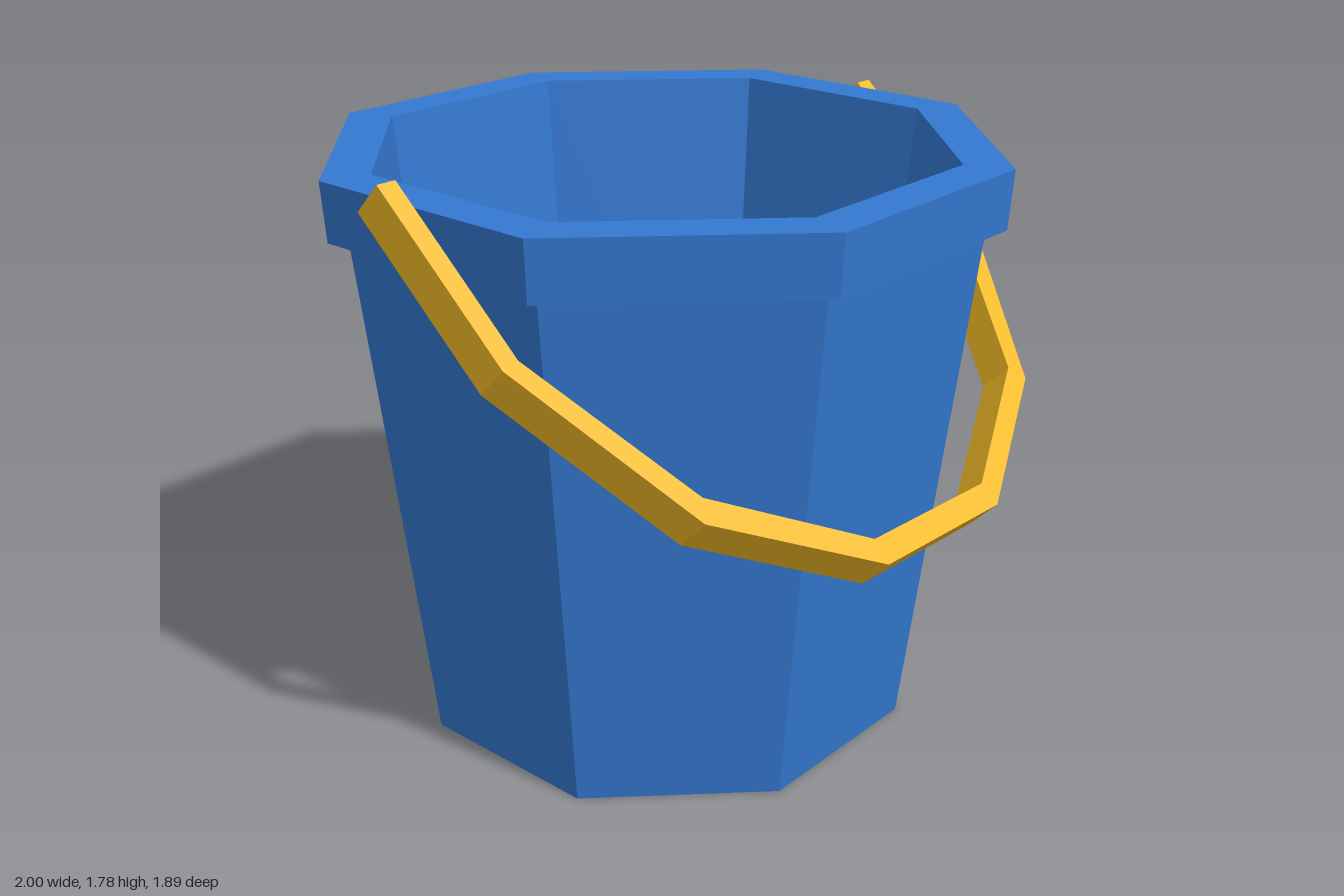
import * as THREE from 'three';

const paint = (color) => new THREE.MeshStandardMaterial({ color, flatShading: true });

// Eight-sided lathe with flats facing the axes; profile is [half width, height]
function octagon(name, profile, material) {
  const k = 1 / Math.cos(Math.PI / 8);
  const points = profile.map(([r, y]) => new THREE.Vector2(r * k, y));
  const mesh = new THREE.Mesh(new THREE.LatheGeometry(points, 8, Math.PI / 8), material);
  mesh.name = name;
  return mesh;
}

// Bent flat bar lying in a tilted plane
function handleGeometry() {
  // Front edges as [x, y], running from right arm to left arm
  const outer = [[-1, 1.78], [-0.98, 1.39], [-0.695, 1.005], [-0.22, 0.785],
    [0.295, 0.775], [0.75, 0.968], [1, 1.33], [0.98, 1.725]];
  const inner = [[-0.94, 1.78], [-0.92, 1.398], [-0.652, 1.048], [-0.21, 0.838],
    [0.29, 0.826], [0.71, 1.005], [0.93, 1.35], [0.92, 1.725]];
  const front = ([x, y]) => [x, y, -0.088 + (1.778 - y) * 1.035];
  const back = (p) => {
    const [x, y, z] = front(p);
    return [x, y - 0.085, z - 0.081];
  };
  const rings = outer.map((o, i) => [front(o), front(inner[i]), back(inner[i]), back(o)]);
  const positions = [];
  const quad = (a, b, c, d) => positions.push(...a, ...b, ...c, ...a, ...c, ...d);
  for (let i = 0; i < rings.length - 1; i++) {
    const p = rings[i], q = rings[i + 1];
    for (let j = 0; j < 4; j++) {
      const k = (j + 1) % 4;
      quad(p[j], q[j], q[k], p[k]);
    }
  }
  // End caps
  quad(...rings[0]);
  quad(...[...rings[rings.length - 1]].reverse());
  const geometry = new THREE.BufferGeometry();
  geometry.setAttribute('position', new THREE.Float32BufferAttribute(positions, 3));
  geometry.computeVertexNormals();
  return geometry;
}

export function createModel() {
  const model = new THREE.Group();
  model.name = 'bucket';
  const blue = paint(0x3478d0);
  const yellow = paint(0xf0b926);

  // Tapered pail: base, outer wall, rim band, inner wall and floor
  const pail = new THREE.Group();
  pail.name = 'pail';
  pail.position.set(-0.022, 0, -0.024);
  pail.add(
    octagon('outerWall', [[0, 0], [0.692, 0], [0.853, 1.55]], blue),
    octagon('rim', [[0.853, 1.55], [0.905, 1.55], [0.915, 1.72], [0.786, 1.72]], blue),
    octagon('innerWall', [[0.786, 1.72], [0.634, 0.2], [0, 0.2]], blue),
  );

  // Carrying handle, swung down to the front
  const handle = new THREE.Mesh(handleGeometry(), yellow);
  handle.name = 'handle';

  model.add(pail, handle);
  return model;
}
